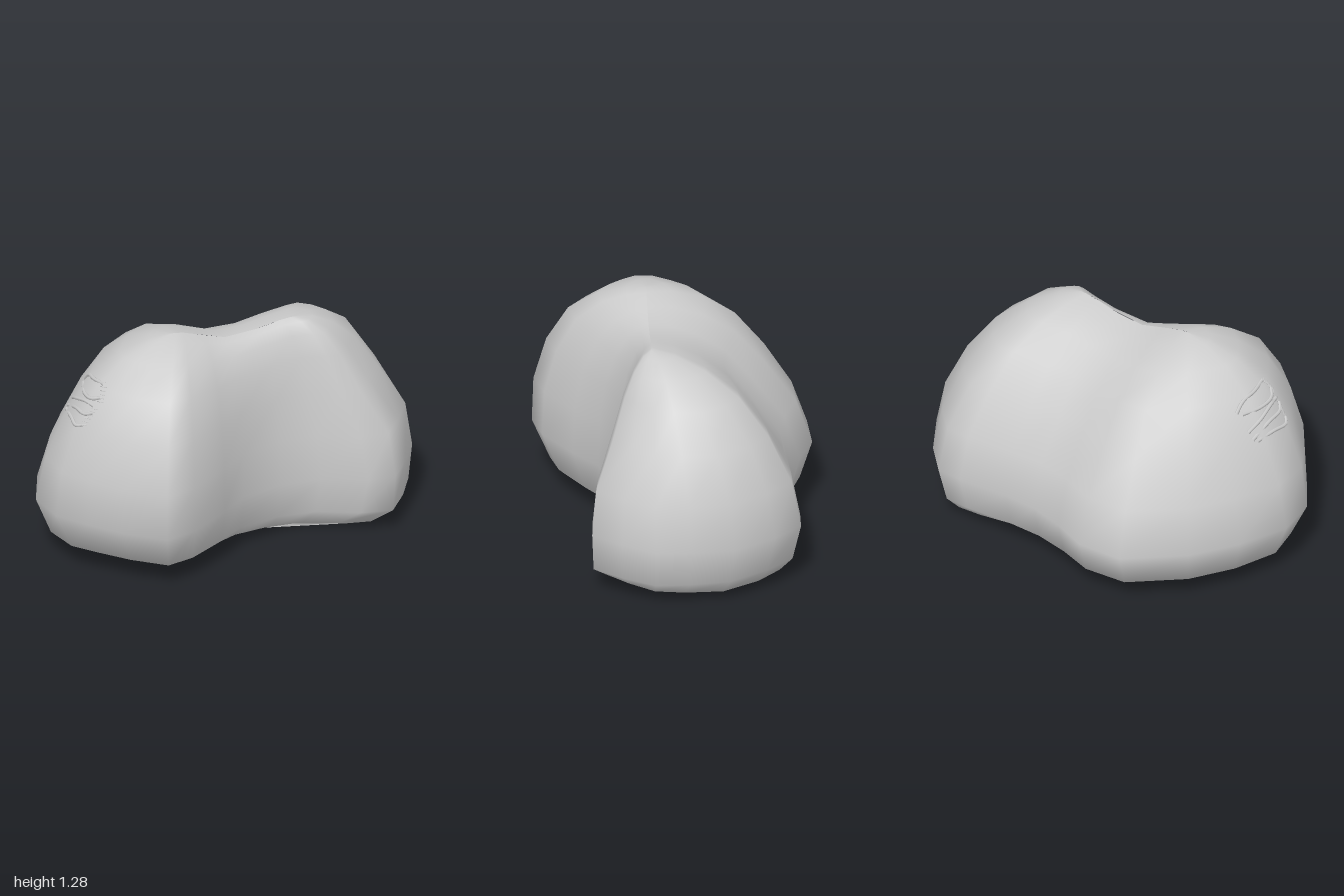
import * as THREE from 'three';

const { lerp, smoothstep } = THREE.MathUtils;

// Widest outline of the boulder, as x, z pairs
const outline = [
  [0.11, -1.0], [0.32, -0.99], [0.58, -0.92], [0.76, -0.76], [0.89, -0.61], [0.93, -0.4], [0.95, -0.2],
  [0.83, -0.1], [0.58, -0.02], [0.4, 0.13], [0.26, 0.34], [0.23, 0.55], [0.16, 0.83],
  [0.06, 0.99], [-0.2, 1.0], [-0.42, 0.97], [-0.62, 0.93], [-0.8, 0.78], [-0.9, 0.5],
  [-0.95, 0.2], [-0.91, -0.18], [-0.73, -0.37], [-0.53, -0.45], [-0.35, -0.55],
  [-0.2, -0.68], [0, -0.9],
];

// Height, then the share of the outline kept there:
// front lobe side, front lobe face, rear lobe side, rear lobe back, rear lobe inner slope
const levels = [
  [0.015, 0.42, 0.32, 0.55, 0.6, 0.3],
  [0.045, 0.65, 0.5, 0.78, 0.87, 0.55],
  [0.13, 0.91, 0.84, 0.99, 0.94, 0.84],
  [0.34, 1, 1, 1, 1, 1],
  [0.6, 0.9, 0.99, 0.94, 0.94, 0.86],
  [0.85, 0.74, 0.88, 0.64, 0.8, 0.64],
  [1.05, 0.56, 0.69, 0.45, 0.6, 0.46],
  [1.17, 0.36, 0.43, 0.29, 0.37, 0.29],
  [1.23, 0.16, 0.18, 0.14, 0.16, 0.14],
  [1.245, 0, 0, 0, 0, 0],
];

// Two rounded humps joined by a lower saddle
function humpHeight(s) {
  return 0.96 + smoothstep(Math.abs(s), 0, 0.36) * (s < 0 ? 0.068 : 0.045);
}

function bodyGeometry() {
  const pos = [], index = [], n = outline.length;
  for (const [y, frontSide, frontFace, rearSide, rearBack, rearInner] of levels) {
    for (const [x, z] of outline) {
      // Each outline point shrinks toward the ridge line between the humps
      const s = 0.375 * Math.tanh((x - z) / Math.SQRT2 / 0.45);
      const t = (s + 0.375) / 0.75;
      const cx = lerp(-0.17, 0.38, t), cz = lerp(0.36, -0.15, t);
      const dx = x - cx, dz = z - cz;
      // Blend the profiles by the way the point faces
      const facing = dz * dz / (dx * dx + dz * dz);
      const front = lerp(frontSide, frontFace, dz < 0 ? 0 : dx > 0 ? 1 : facing);
      const rear = lerp(lerp(rearSide, rearBack, facing), rearInner, smoothstep(dz, -0.1, 0.12));
      // The waist is steep on its inner side and hollowed at the back
      const waist = Math.exp(-((s / 0.2) ** 2)) * smoothstep(y, 0.4, 0.9);
      const k = lerp(front, rear, t) * (1 + waist * (dx + dz > 0 ? 0.14 : -0.06));
      const top = lerp(1, humpHeight(s), smoothstep(y, 0.6, 1.2));
      pos.push(cx + dx * k, y * top, cz + dz * k);
    }
  }
  for (let j = 0; j < levels.length - 1; j++) {
    for (let i = 0; i < n; i++) {
      const a = j * n + i, b = j * n + (i + 1) % n;
      index.push(a, a + n, b, b, a + n, b + n);
    }
  }
  // Close the underside
  const low = pos.length / 3;
  pos.push(0.1, 0, 0.1);
  for (let i = 0; i < n; i++) index.push(low, i, (i + 1) % n);
  const g = new THREE.BufferGeometry();
  g.setAttribute('position', new THREE.Float32BufferAttribute(pos, 3));
  g.setIndex(index);
  g.computeVertexNormals();
  return g;
}

export function createModel() {
  const group = new THREE.Group();
  const material = new THREE.MeshStandardMaterial({ color: 0xcccccc });
  const body = new THREE.Mesh(bodyGeometry(), material);
  body.name = 'boulder';
  group.add(body);

  // Drops a point seen from the front onto the boulder
  const ray = new THREE.Raycaster();
  const onBody = (x, y) => {
    ray.set(new THREE.Vector3(x, y, 5), new THREE.Vector3(0, 0, -1));
    const hit = ray.intersectObject(body)[0];
    return hit ? hit.point : new THREE.Vector3(x, y, 0.5);
  };

  // Fossil set into the shoulder: thin jaw bones and a row of teeth
  const fossil = new THREE.Group();
  fossil.name = 'fossil';
  group.add(fossil);
  const bones = [
    [[-0.6, 1.01], [-0.56, 1.06], [-0.5, 1.08], [-0.42, 1.09]],
    [[-0.6, 1.0], [-0.55, 1.0], [-0.48, 1.01], [-0.42, 1.03]],
    [[-0.65, 0.91], [-0.6, 0.95], [-0.52, 0.98], [-0.45, 0.98]],
    [[-0.67, 0.87], [-0.58, 0.92], [-0.5, 0.93], [-0.45, 0.95]],
    [[-0.67, 0.86], [-0.6, 0.87], [-0.54, 0.865], [-0.5, 0.88]],
  ];
  bones.forEach((points) => {
    const path = new THREE.CatmullRomCurve3(points.map(([x, y]) => onBody(x, y)));
    const bone = new THREE.Mesh(new THREE.TubeGeometry(path, 12, 0.011, 6), material);
    bone.name = 'jawBone';
    fossil.add(bone);
  });
  const toothRow = (from, to, count) => {
    for (let i = 0; i < count; i++) {
      const t = i / (count - 1);
      const tooth = new THREE.Mesh(new THREE.ConeGeometry(0.008, 0.045, 5), material);
      tooth.name = 'tooth';
      tooth.position.copy(onBody(lerp(from[0], to[0], t), lerp(from[1], to[1], t)));
      tooth.rotation.z = Math.PI / 2;
      fossil.add(tooth);
    }
  };
  toothRow([-0.42, 1.08], [-0.42, 1.01], 5);
  toothRow([-0.45, 0.97], [-0.5, 0.88], 6);
  return group;
}
